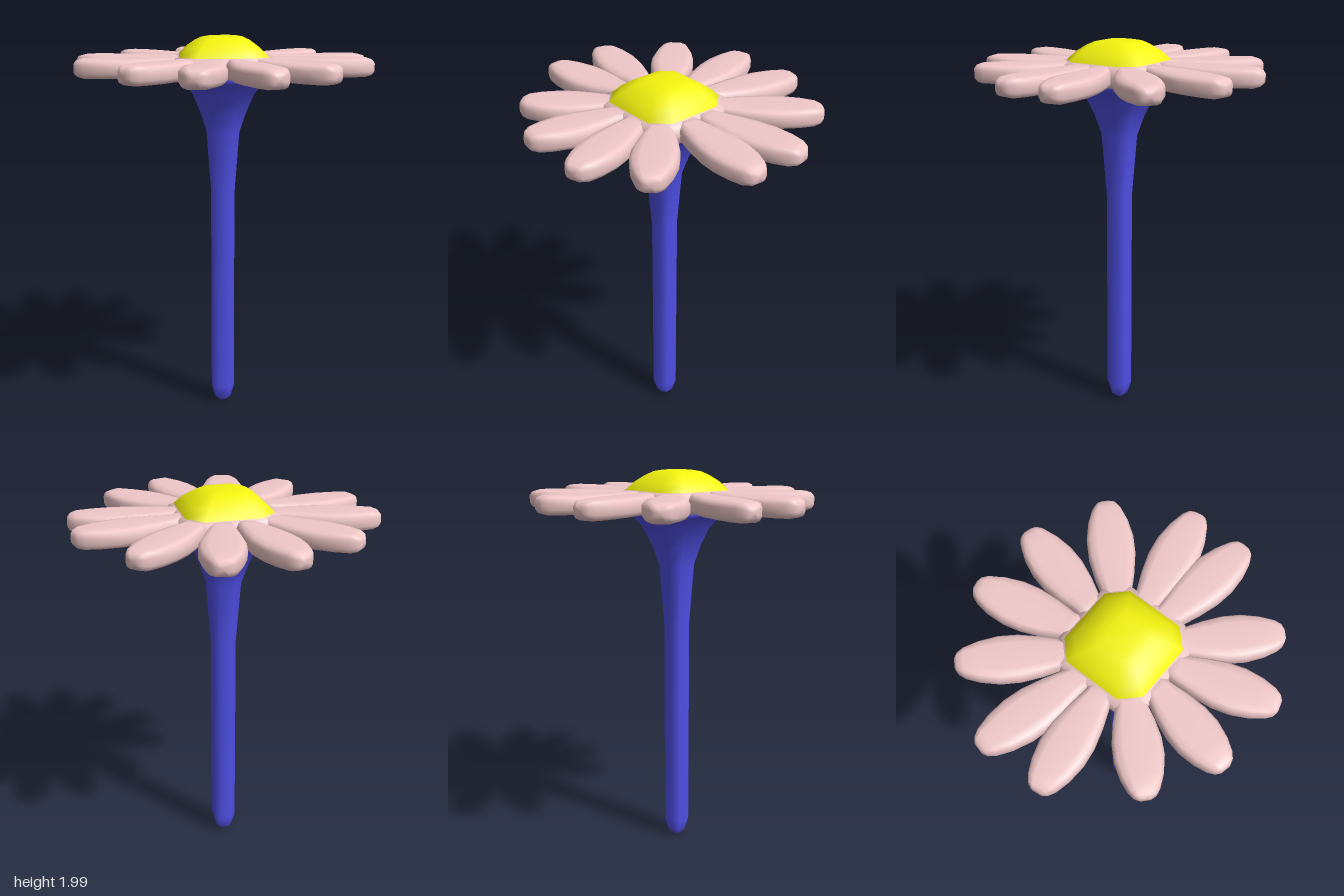
import * as THREE from 'three';

const CX = -0.005, CZ = 0.005;

// Skin a closed surface over rings of points, counter-clockwise along the travel direction
function loft(rings) {
  const n = rings[0].length, pos = [], index = [];
  rings.forEach(r => r.forEach(p => pos.push(p.x, p.y, p.z)));
  for (let i = 0; i < rings.length - 1; i++) {
    for (let j = 0; j < n; j++) {
      const a = i * n + j, b = i * n + (j + 1) % n;
      index.push(a, b, b + n, a, b + n, a + n);
    }
  }
  [0, rings.length - 1].forEach((ri, end) => {
    const c = new THREE.Vector3();
    rings[ri].forEach(p => c.addScaledVector(p, 1 / n));
    const ci = pos.length / 3;
    pos.push(c.x, c.y, c.z);
    for (let j = 0; j < n; j++) {
      const a = ri * n + j, b = ri * n + (j + 1) % n;
      if (end) index.push(ci, a, b); else index.push(ci, b, a);
    }
  });
  const g = new THREE.BufferGeometry();
  g.setAttribute('position', new THREE.Float32BufferAttribute(pos, 3));
  g.setIndex(index);
  g.computeVertexNormals();
  return g;
}

// Chamfered square outline: k is the half-length of each flat side
const octagon = k => [[-k, 1], [k, 1], [1, k], [1, -k], [k, -1], [-k, -1], [-1, -k], [-1, k]];

// Upright body from [half width, height, k] rows
function upright(rows) {
  return loft(rows.map(([w, y, k]) =>
    octagon(k).map(([x, z]) => new THREE.Vector3(CX + x * w, y, CZ + z * w))));
}

// Petal rows: [fraction of length, half width, half height]
const PETAL = [
  [0, 0.06, 0.05], [0.12, 0.064, 0.048], [0.3, 0.09, 0.047], [0.48, 0.107, 0.047],
  [0.64, 0.108, 0.047], [0.8, 0.092, 0.047], [0.92, 0.068, 0.046], [0.975, 0.048, 0.037], [1, 0.026, 0.022],
];

function petal(tipX, tipZ, rootAngle) {
  const root = new THREE.Vector3(CX + 0.2 * Math.cos(rootAngle), 1.852, CZ - 0.2 * Math.sin(rootAngle));
  const tip = new THREE.Vector3(tipX, 1.852, tipZ);
  const up = new THREE.Vector3(0, 1, 0);
  const side = up.clone().cross(tip.clone().sub(root).normalize());
  // Cross-section: flat top and bottom with rounded edges
  const section = [[1, -0.42], [1, 0.42], [0.86, 0.84], [0.55, 1], [-0.55, 1], [-0.86, 0.84],
    [-1, 0.42], [-1, -0.42], [-0.86, -0.84], [-0.55, -1], [0.55, -1], [0.86, -0.84]];
  return loft(PETAL.map(([t, w, h]) => {
    const c = root.clone().lerp(tip, t);
    return section.map(([u, v]) => c.clone().addScaledVector(side, u * w).addScaledVector(up, v * h));
  }));
}

export function createModel() {
  const model = new THREE.Group();
  const pink = new THREE.MeshStandardMaterial({ color: 0xf0c8c8 });
  const blue = new THREE.MeshStandardMaterial({ color: 0x5050e8 });
  const yellow = new THREE.MeshStandardMaterial({ color: 0xf4f410 });
  const add = (parent, name, geometry, material) => {
    const mesh = new THREE.Mesh(geometry, material);
    mesh.name = name;
    parent.add(mesh);
  };

  // Stem flaring into the cup under the flower
  add(model, 'stem', upright([
    [0.018, 0.006, 0.5], [0.042, 0.03, 0.5], [0.06, 0.1, 0.5], [0.06, 0.65, 0.5], [0.06, 1.2, 0.5],
    [0.083, 1.52, 0.5], [0.115, 1.62, 0.5], [0.155, 1.72, 0.55], [0.2, 1.778, 0.6],
    [0.225, 1.8, 0.62], [0.2, 1.83, 0.62],
  ]), blue);

  // Ring that joins the petal roots
  add(model, 'petalBase', upright([
    [0.2, 1.79, 0.62], [0.245, 1.808, 0.62], [0.252, 1.85, 0.62], [0.245, 1.893, 0.62], [0.2, 1.912, 0.62],
  ]), pink);

  // Domed flower centre
  add(model, 'flowerCentre', upright([
    [0.217, 1.885, 0.63], [0.22, 1.905, 0.63], [0.18, 1.946, 0.62], [0.14, 1.975, 0.6],
    [0.105, 1.992, 0.6], [0.065, 2, 0.6],
  ]), yellow);

  // Twelve petals, each with its own tip position (x, z)
  const petals = new THREE.Group();
  petals.name = 'petals';
  const tips = [
    [0.745, -0.15], [0.525, -0.53], [0.175, -0.71], [-0.185, -0.71], [-0.525, -0.525], [-0.75, -0.185],
    [-0.74, 0.13], [-0.48, 0.505], [-0.165, 0.685], [0.205, 0.7], [0.495, 0.52], [0.742, 0.125],
  ];
  tips.forEach(([x, z], i) =>
    add(petals, 'petal' + (i + 1), petal(x, z, (15 + 30 * i) * Math.PI / 180), pink));
  model.add(petals);
  return model;
}
